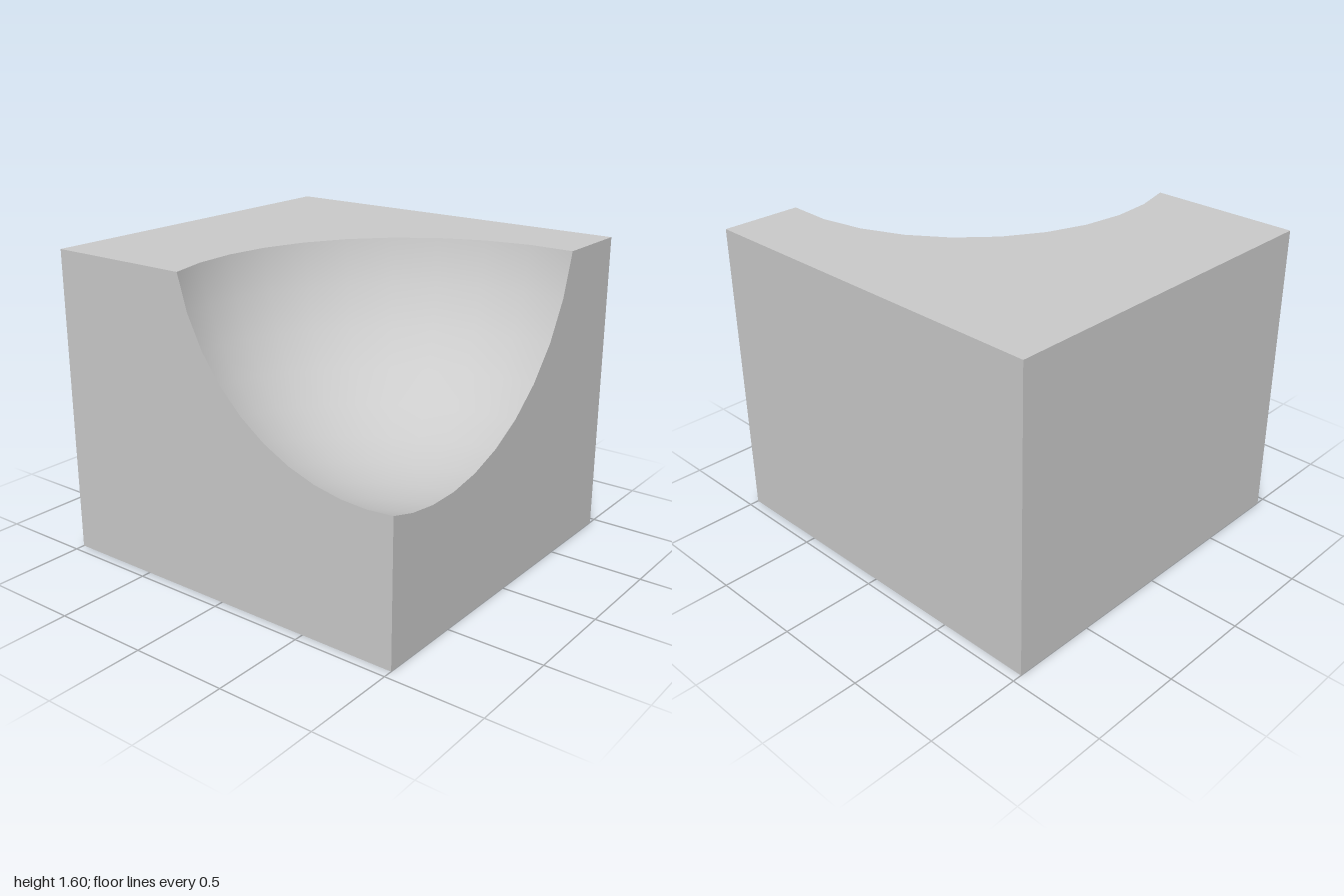
import * as THREE from 'three';

// Block with a spherical hollow scooped out of one top corner
const MIN = new THREE.Vector3(-0.95, 0, -1);
const MAX = new THREE.Vector3(0.95, 1.6, 1);
const CORNER = new THREE.Vector3(MIN.x, MAX.y, MAX.z); // the corner cut away
const CENTRE = new THREE.Vector3(-0.59, 1.82, 0.86);
const RADIUS = 1.146;
const STEPS = 10;
const AXES = ['x', 'y', 'z'];

// Point on the sphere seen from the cut corner; i and j sweep one octant,
// so the borders of the octant lie exactly in the faces of the block
function hollowPoint(i, j) {
  const a = (i / STEPS) * Math.PI / 2;
  const b = (j / STEPS) * Math.PI / 2;
  const dir = new THREE.Vector3(Math.sin(a) * Math.cos(b), -Math.cos(a), -Math.sin(a) * Math.sin(b));
  const off = CORNER.clone().sub(CENTRE);
  const d = off.dot(dir);
  const t = -d + Math.sqrt(d * d - off.lengthSq() + RADIUS * RADIUS);
  return CORNER.clone().addScaledVector(dir, t);
}

function hollowGeometry() {
  const positions = [], normals = [], index = [];
  const row = STEPS + 1;
  for (let i = 0; i <= STEPS; i++) {
    for (let j = 0; j <= STEPS; j++) {
      const p = hollowPoint(i, j);
      positions.push(...p.toArray());
      normals.push(...CENTRE.clone().sub(p).normalize().toArray());
      if (i === STEPS || j === STEPS) continue;
      const k = i * row + j;
      if (i > 0) index.push(k, k + row, k + 1);
      index.push(k + 1, k + row, k + row + 1);
    }
  }
  const g = new THREE.BufferGeometry();
  g.setAttribute('position', new THREE.Float32BufferAttribute(positions, 3));
  g.setAttribute('normal', new THREE.Float32BufferAttribute(normals, 3));
  g.setIndex(index);
  return g;
}

// Flat face of the block; an arc, if given, replaces the cut corner
function faceGeometry(axis, sign, arc) {
  const [w, u, v] = [0, 1, 2].map((k) => AXES[(axis + k) % 3]);
  const level = (sign > 0 ? MAX : MIN)[w];
  let outline = [];
  for (const [a, b] of [[MIN, MIN], [MAX, MIN], [MAX, MAX], [MIN, MAX]]) {
    if (arc && a[u] === CORNER[u] && b[v] === CORNER[v]) {
      const pts = arc.map((p) => new THREE.Vector2(p[u], p[v]));
      // start the arc on the side that the outline arrives along
      const last = new THREE.Vector2(CORNER[u], CORNER[v]);
      const ccwTurn = pts[0].clone().sub(last).cross(pts[pts.length - 1].clone().sub(last));
      outline.push(...(ccwTurn > 0 ? pts.reverse() : pts));
    } else {
      outline.push(new THREE.Vector2(a[u], b[v]));
    }
  }
  const positions = [];
  for (const tri of THREE.ShapeUtils.triangulateShape(outline, [])) {
    const [p, q, r] = tri.map((k) => outline[k]);
    const turn = q.clone().sub(p).cross(r.clone().sub(p));
    for (const c of turn * sign > 0 ? [p, q, r] : [p, r, q]) {
      const corner = new THREE.Vector3();
      corner[w] = level;
      corner[u] = c.x;
      corner[v] = c.y;
      positions.push(...corner.toArray());
    }
  }
  const g = new THREE.BufferGeometry();
  g.setAttribute('position', new THREE.Float32BufferAttribute(positions, 3));
  g.computeVertexNormals();
  return g;
}

export function createModel() {
  const model = new THREE.Group();
  model.name = 'scoopedBlock';
  const material = new THREE.MeshStandardMaterial({ color: 0xcccccc, side: THREE.DoubleSide });
  const add = (name, geometry) => {
    const mesh = new THREE.Mesh(geometry, material);
    mesh.name = name;
    model.add(mesh);
  };
  const steps = Array.from({ length: STEPS + 1 }, (_, k) => k);

  // Whole faces
  add('leftFace', faceGeometry(0, 1));
  add('bottomFace', faceGeometry(1, -1));
  add('backFace', faceGeometry(2, -1));

  // Faces notched by the hollow
  add('rightFace', faceGeometry(0, -1, steps.map((k) => hollowPoint(k, STEPS))));
  add('topFace', faceGeometry(1, 1, steps.map((k) => hollowPoint(STEPS, k))));
  add('frontFace', faceGeometry(2, 1, steps.map((k) => hollowPoint(k, 0))));

  // Spherical hollow
  add('hollow', hollowGeometry());
  return model;
}
